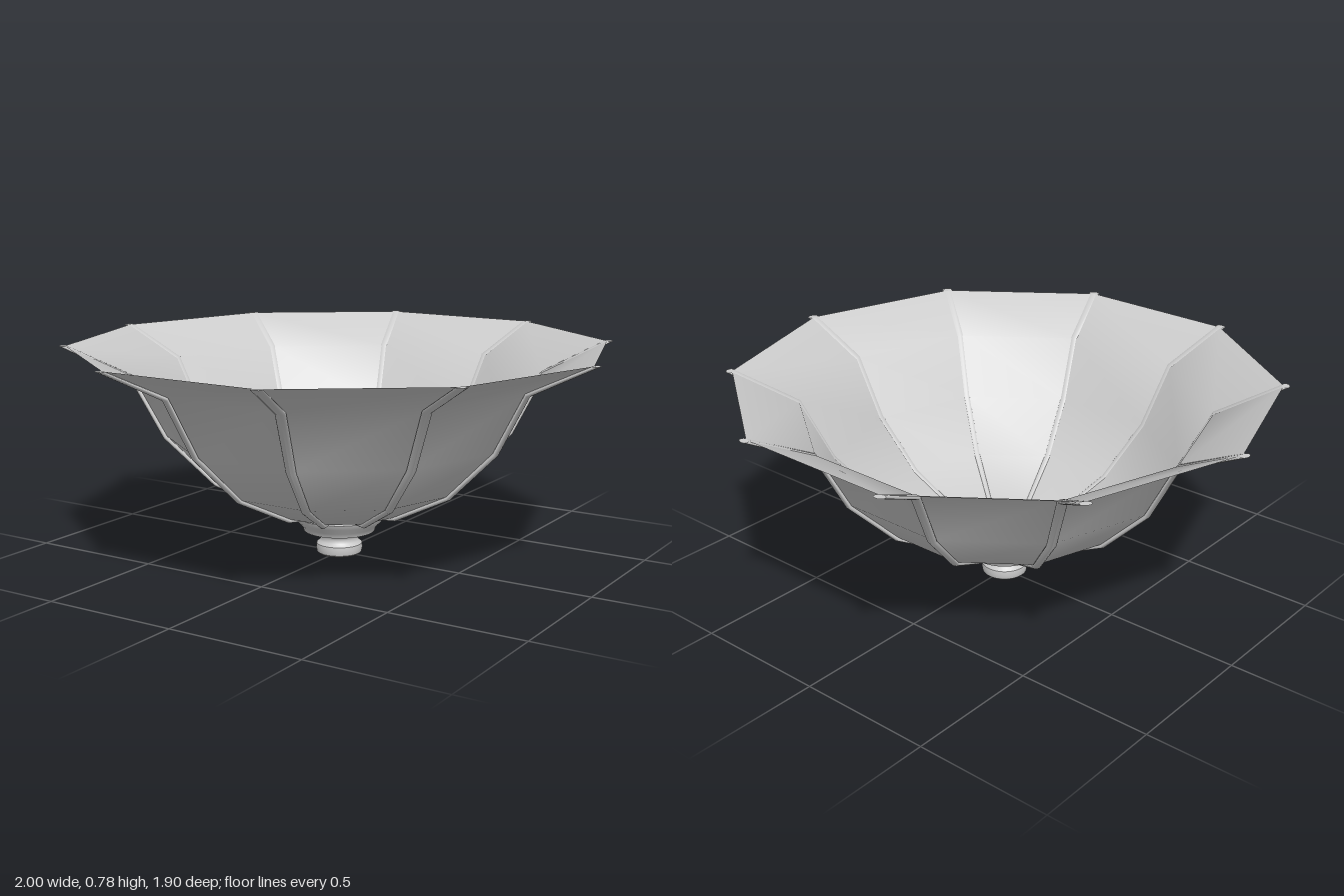
import * as THREE from 'three';

const SIDES = 10;
const STEP = (Math.PI * 2) / SIDES;

// Corner profile of the bowl, rim to centre: radius, height, rib half width
const PROFILE = [
  [0.978, 0.78, 0.021], [0.742, 0.667, 0.019], [0.627, 0.448, 0.018],
  [0.45, 0.271, 0.016], [0.235, 0.165, 0.012], [0, 0.146, 0.004],
];

// Skins equal-length rows of points into one smooth surface
function skin(rows) {
  const n = rows[0].length;
  const index = [];
  for (let i = 0; i < rows.length - 1; i++) {
    for (let j = 0; j < n - 1; j++) {
      const a = i * n + j, b = a + n;
      index.push(a, b, a + 1, a + 1, b, b + 1);
    }
  }
  const geo = new THREE.BufferGeometry();
  geo.setAttribute('position', new THREE.Float32BufferAttribute(rows.flat(2), 3));
  geo.setIndex(index);
  geo.computeVertexNormals();
  return geo;
}

// One gore between two ribs: flat across, smooth from rim to centre
function panelGeometry() {
  const s = Math.sin(STEP / 2), c = Math.cos(STEP / 2);
  return skin(PROFILE.map(([r, y]) => [[r * c, y, r * s], [r * c, y, -r * s]]));
}

// Outward direction of the profile at point i, mitred between segments
function outward(i) {
  if (i === 0) return [1, 0, 0.022];
  const normal = (k) => {
    const dx = PROFILE[k][0] - PROFILE[k + 1][0];
    const dy = PROFILE[k][1] - PROFILE[k + 1][1];
    return new THREE.Vector2(dy, -dx).normalize();
  };
  const n = normal(i - 1);
  if (i < PROFILE.length - 1) n.add(normal(i)).normalize();
  return [n.x, n.y, 0.014];
}

// Rounded rib, swept along the profile in the plane z = 0
function ribGeometry() {
  const around = 12;
  return skin(PROFILE.map(([r, y, w], i) => {
    const [nx, ny, depth] = outward(i);
    return Array.from({ length: around + 1 }, (_, k) => {
      const a = (k / around) * Math.PI * 2;
      const d = depth * (0.35 + 0.65 * Math.cos(a));
      return [r + nx * d, y + ny * d, -w * Math.sin(a)];
    });
  }));
}

// Flat cap closing the rib at the rim
function ribCapGeometry() {
  const geo = new THREE.CircleGeometry(1, 12);
  geo.rotateX(-Math.PI / 2);
  geo.scale(0.022 * 0.65, 1, PROFILE[0][2]);
  geo.translate(PROFILE[0][0] + 0.022 * 0.35, PROFILE[0][1], 0);
  return geo;
}

// Turned finial: each section has its own normals so the edges stay crisp
function finial(material) {
  const group = new THREE.Group();
  group.name = 'finial';
  const sections = {
    finialTop: [[0, 0.146], [0.165, 0.143]],
    finialCollar: [[0.165, 0.143], [0.158, 0.125], [0.138, 0.105], [0.132, 0.088]],
    finialStep: [[0.132, 0.088], [0.085, 0.084]],
    finialNeck: [[0.085, 0.084], [0.071, 0.073], [0.067, 0.06], [0.072, 0.048], [0.084, 0.038]],
    finialKnob: [[0.084, 0.038], [0.086, 0.022], [0.083, 0.006]],
    finialBase: [[0.083, 0.006], [0.076, 0], [0, 0]],
  };
  for (const [name, points] of Object.entries(sections)) {
    const profile = points.map(([r, y]) => new THREE.Vector2(r, y)).reverse();
    const mesh = new THREE.Mesh(new THREE.LatheGeometry(profile, 40), material);
    mesh.name = name;
    group.add(mesh);
  }
  return group;
}

export function createModel() {
  const model = new THREE.Group();
  model.name = 'fluted bowl';
  const material = new THREE.MeshStandardMaterial({ color: 0xcccccc, side: THREE.DoubleSide });

  const panel = panelGeometry();
  const rib = ribGeometry();
  const cap = ribCapGeometry();
  const add = (name, geometry, angle) => {
    const mesh = new THREE.Mesh(geometry, material);
    mesh.name = name;
    mesh.rotation.y = angle;
    model.add(mesh);
  };

  // Ribs sit on the corners, panels span between them
  for (let i = 0; i < SIDES; i++) {
    add('panel', panel, (i + 0.5) * STEP);
    add('rib', rib, i * STEP);
    add('ribEnd', cap, i * STEP);
  }

  model.add(finial(material));
  return model;
}
